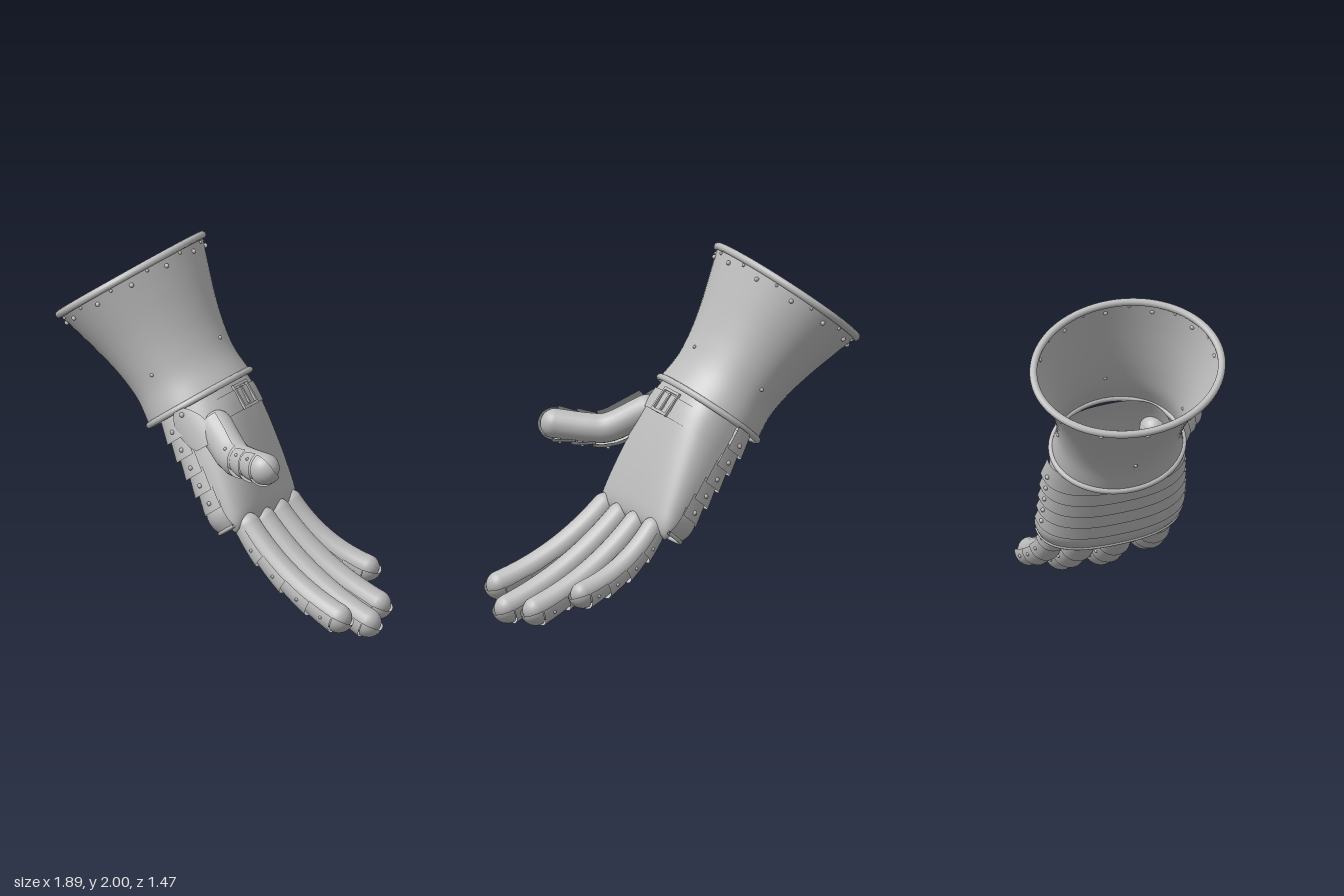
import * as THREE from 'three';
import { mergeVertices } from 'three/addons/utils/BufferGeometryUtils.js';

const V = (x, y, z) => new THREE.Vector3(x, y, z);
const steel = new THREE.MeshStandardMaterial({ color: 0xbcbcbc, side: THREE.DoubleSide });
steel.name = 'steel';

// Smooth surface from a rule: fn(u, v) gives a point, u and v run 0..1
function sheet(nu, nv, fn) {
  const pos = [], index = [];
  for (let i = 0; i <= nu; i++) {
    for (let j = 0; j <= nv; j++) pos.push(...fn(i / nu, j / nv).toArray());
  }
  for (let i = 0; i < nu; i++) {
    for (let j = 0; j < nv; j++) {
      const a = i * (nv + 1) + j, b = a + nv + 1;
      index.push(a, b, a + 1, b, b + 1, a + 1);
    }
  }
  let g = new THREE.BufferGeometry();
  g.setAttribute('position', new THREE.Float32BufferAttribute(pos, 3));
  g.setIndex(index);
  g = mergeVertices(g, 1e-5);
  g.computeVertexNormals();
  return g;
}

// Smooth profile lookup: rows of three numbers, sampled at 0..1
function profile(rows) {
  const c = new THREE.CatmullRomCurve3(rows.map(r => V(...r)));
  return u => c.getPoint(u);
}

// Hand space: x = thumb side, y = towards the fingers, z = palm side, origin at the wrist
export function createModel() {
  const root = new THREE.Group();
  root.name = 'gauntlet';
  const hand = new THREE.Group();
  hand.name = 'hand';
  root.add(hand);

  const add = (name, geometry, parent = hand) => {
    const m = new THREE.Mesh(geometry, steel);
    m.name = name;
    parent.add(m);
    return m;
  };
  const rivetGeo = new THREE.SphereGeometry(0.013, 10, 6);
  const rivet = (p, parent = hand, size = 1) => {
    const m = add('rivet', rivetGeo, parent);
    m.position.copy(p);
    m.scale.setScalar(size);
  };

  // Flared cuff: y, half width, half depth
  const cuffAt = profile([
    [0, 0.36, 0.293], [-0.15, 0.343, 0.28], [-0.3, 0.362, 0.296],
    [-0.45, 0.4, 0.33], [-0.6, 0.453, 0.372], [-0.757, 0.515, 0.417],
  ]);
  const cuffPoint = (u, a, grow = 0) => {
    const r = cuffAt(u);
    return V((r.y + grow) * Math.cos(a), r.x, (r.z + grow) * Math.sin(a));
  };
  add('cuff', sheet(24, 64, (u, v) => cuffPoint(u, v * Math.PI * 2)));
  for (const [u, r, name] of [[0, 0.018, 'wristRim'], [1, 0.021, 'openingRim']]) {
    const ring = [];
    for (let i = 0; i < 32; i++) ring.push(cuffPoint(u, i * Math.PI / 16));
    add(name, new THREE.TubeGeometry(new THREE.CatmullRomCurve3(ring, true), 96, r, 10, true));
  }
  for (let i = 0; i < 12; i++) {
    rivet(cuffPoint(0.925, i * Math.PI / 6, 0.004));
    rivet(cuffPoint(0.96, (i + 0.5) * Math.PI / 6, 0.003), hand, 0.7);
  }
  for (let i = 0; i < 4; i++) rivet(cuffPoint(0.3, i * Math.PI / 2, 0.003), hand, 0.8);

  // Palm plate: y, half width, height
  const palmAt = profile([
    [-0.04, 0.31, 0.258], [0.1, 0.335, 0.262], [0.35, 0.368, 0.215], [0.58, 0.386, 0.15],
    [0.68, 0.384, 0.11], [0.72, 0.368, 0.075], [0.735, 0.35, 0.01],
  ]);
  const palmPoint = (u, v, grow = 0) => {
    const r = palmAt(u), c = Math.cos(v * Math.PI), s = Math.max(0, Math.sin(v * Math.PI));
    return V(Math.sign(c) * Math.abs(c) ** 0.7 * (r.y + grow), r.x, -0.02 + s ** 0.7 * (r.z + grow));
  };
  add('palm', sheet(36, 40, (u, v) => palmPoint(u, v)));
  add('strap', sheet(4, 40, (u, v) => palmPoint(0.12 + u * 0.1, v, 0.006)));

  // Buckle frame with its tongue
  const rect = (T, w, h) => new T([[-w, -h], [w, -h], [w, h], [-w, h]].map(p => new THREE.Vector2(...p)));
  const frame = rect(THREE.Shape, 0.084, 0.072);
  frame.holes.push(rect(THREE.Path, 0.068, 0.056));
  add('buckle', new THREE.ExtrudeGeometry(frame, { depth: 0.014, bevelEnabled: false })).position.set(-0.005, 0.105, 0.243);
  add('buckleTongue', new THREE.BoxGeometry(0.014, 0.1, 0.012)).position.set(-0.005, 0.105, 0.25);

  // Overlapping plates across the back of the hand, wider on the little-finger side
  const backPoint = (y, a, grow) => {
    const c = Math.cos(a), s = Math.max(0, Math.sin(a));
    const w = (c < 0 ? 0.388 : 0.345 + 0.04 * Math.min(1, Math.max(0, y / 0.5))) + grow;
    return V(Math.sign(c) * Math.abs(c) ** 0.8 * w, y, 0.01 - s ** 0.8 * (0.19 + grow));
  };
  for (let k = 0; k < 5; k++) {
    const y0 = 0.01 + k * 0.108;
    add('backPlate', sheet(4, 36, (u, v) => backPoint(y0 + u * 0.132, v * Math.PI, 0.002 + 0.028 * u)));
    for (const a of [0.22, Math.PI - 0.22]) rivet(backPoint(y0 + 0.085, a, 0.021));
  }
  const knuckleGrow = u => 0.004 + 0.024 * Math.sin(u * Math.PI * 0.95);
  add('knucklePlate', sheet(12, 40, (u, v) => backPoint(0.53 + u * 0.165, v * Math.PI, knuckleGrow(u))));
  const edge = [];
  for (let i = 0; i <= 24; i++) edge.push(backPoint(0.695, i * Math.PI / 24, knuckleGrow(1)));
  add('knuckleRim', new THREE.TubeGeometry(new THREE.CatmullRomCurve3(edge), 60, 0.011, 8));

  // One digit: rounded tube inside, flared half shells along its outer side
  function digit(name, curve, radius, back, cuts, baseGrow = 0) {
    const g = new THREE.Group();
    g.name = name;
    hand.add(g);
    add('inner', new THREE.TubeGeometry(curve, 24, radius, 20), g);
    for (const t of [0, 1]) {
      add('roundEnd', new THREE.SphereGeometry(radius, 20, 14), g).position.copy(curve.getPoint(t));
    }
    const at = (t, phi, r, push = 0) => {
      const T = curve.getTangent(t);
      const B = back.clone().addScaledVector(T, -back.dot(T)).normalize();
      const S = T.clone().cross(B);
      return curve.getPoint(t).addScaledVector(T, push)
        .addScaledVector(B, r * Math.cos(phi)).addScaledVector(S, r * Math.sin(phi));
    };
    for (let k = 0; k < cuts.length - 1; k++) {
      const t0 = cuts[k], t1 = Math.min(1, cuts[k + 1] + 0.035);
      const extra = k === 0 ? baseGrow : 0;
      const r = u => radius + 0.005 + 0.018 * u + extra * (1 - u);
      add('plate', sheet(4, 18, (u, v) => at(t0 + (t1 - t0) * u, (v - 0.5) * 3.4, r(u))), g);
      for (const s of [-1.25, 1.25]) rivet(at(t0 + (t1 - t0) * 0.65, s, r(0.65)), g, 0.75);
    }
    // Rounded cap over the tip
    const R = radius + 0.013;
    add('tipPlate', sheet(8, 18, (u, v) => {
      const q = u * Math.PI / 2;
      return at(1, (v - 0.5) * 3.4, R * Math.cos(q), R * Math.sin(q));
    }), g);
  }

  // Fingers: name, base and tip
  const fingers = [
    ['indexFinger', V(0.285, 0.73, 0.03), V(0.343, 1.4, 0.27)],
    ['middleFinger', V(0.1, 0.74, 0.03), V(0.108, 1.495, 0.287)],
    ['ringFinger', V(-0.09, 0.735, 0.03), V(-0.122, 1.432, 0.27)],
    ['littleFinger', V(-0.268, 0.72, 0.03), V(-0.335, 1.229, 0.21)],
  ];
  for (const [name, base, tip] of fingers) {
    const mid = base.clone().lerp(tip, 0.5).add(V(0, 0.03, -0.085));
    const r = name === 'littleFinger' ? 0.066 : 0.072;
    digit(name, new THREE.QuadraticBezierCurve3(base, mid, tip), r, V(0, 0, -1), [0, 0.24, 0.5, 0.75, 1]);
  }

  // Thumb
  const thumbCurve = new THREE.CatmullRomCurve3([
    V(0.268, 0.18, 0.16), V(0.385, 0.375, 0.23), V(0.438, 0.43, 0.295), V(0.538, 0.51, 0.425),
  ]);
  digit('thumb', thumbCurve, 0.08, V(0.6, 0.3, -0.6), [0, 0.52, 0.78, 1], 0.03);

  // Leaf-shaped hinge plate joining the thumb to the wrist
  add('thumbHinge', sheet(12, 12, (u, v) => {
    const a = (v - 0.5) * 2 * Math.sin(Math.PI * (0.1 + 0.75 * u));
    return V(0.33 + 0.05 * Math.cos(a) + 0.03 * u, 0.01 + 0.24 * u, 0.05 + 0.11 * Math.sin(a) + 0.04 * u);
  }));
  rivet(V(0.385, 0.04, 0.06), hand, 1.1);

  // Tilt the whole hand into its pose
  const along = V(0.542, -0.81, 0.225).normalize();
  const palmDir = V(-0.236, 0.11, 0.966).cross(along).normalize();
  const side = along.clone().cross(palmDir);
  hand.quaternion.setFromRotationMatrix(new THREE.Matrix4().makeBasis(side, along, palmDir));
  hand.position.set(-0.155, 1.12, -0.04);
  return root;
}
